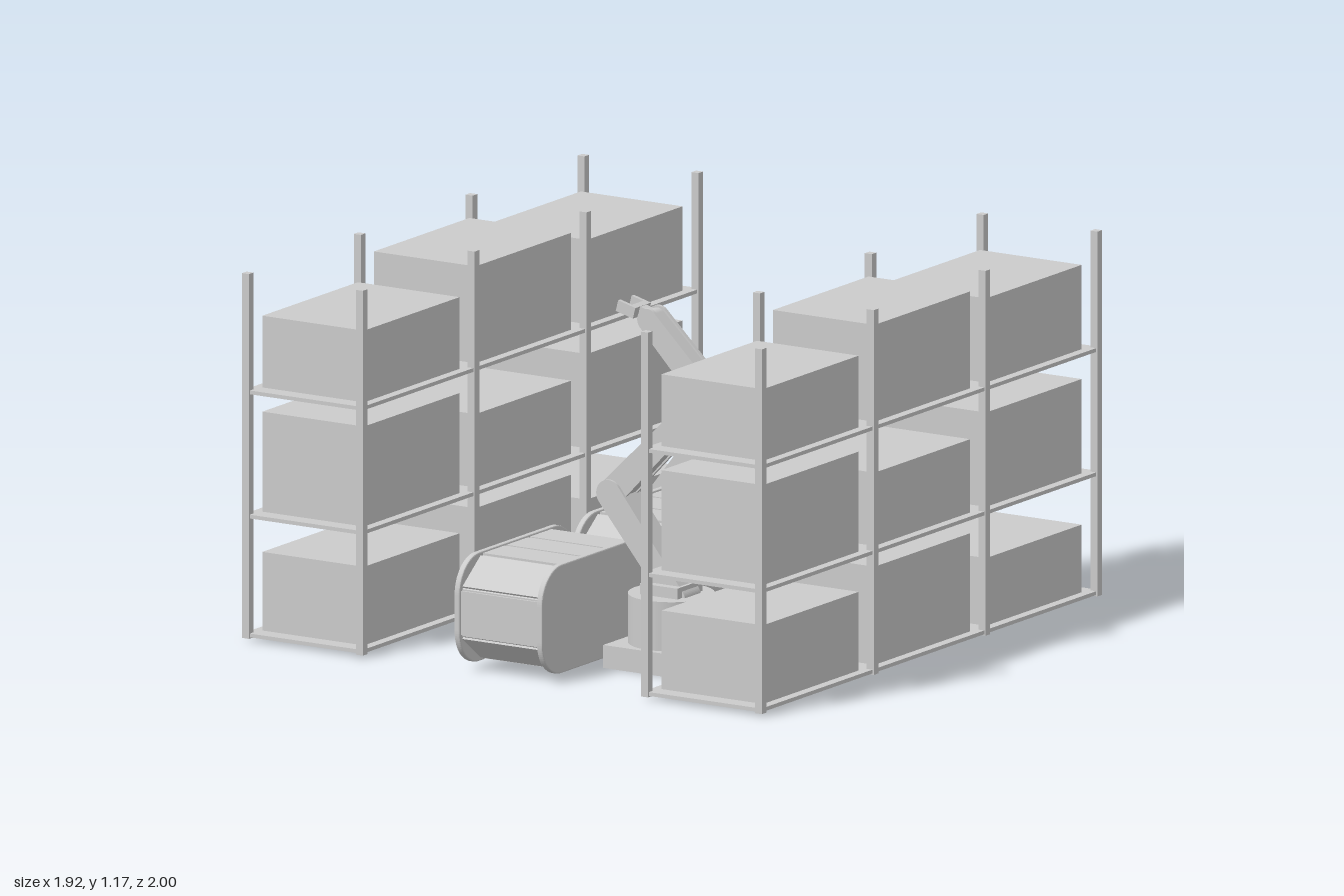
import * as THREE from 'three';

const grey = new THREE.MeshStandardMaterial({ color: 0xcccccc });

function add(parent, name, geometry, x = 0, y = 0, z = 0) {
  const mesh = new THREE.Mesh(geometry, grey);
  mesh.name = name;
  mesh.position.set(x, y, z);
  parent.add(mesh);
  return mesh;
}

// Box given by its bottom height
function block(parent, name, w, h, d, x, bottom, z) {
  return add(parent, name, new THREE.BoxGeometry(w, h, d), x, bottom + h / 2, z);
}

// Round-ended bar between two points in the XY plane, centred on z
function link(parent, name, a, b, ra, rb, depth, z = 0) {
  const dx = b[0] - a[0], dy = b[1] - a[1];
  const s = new THREE.Shape();
  s.absarc(0, 0, ra, Math.PI / 2, Math.PI * 1.5, false);
  s.absarc(Math.hypot(dx, dy), 0, rb, -Math.PI / 2, Math.PI / 2, false);
  s.closePath();
  const g = new THREE.ExtrudeGeometry(s, { depth, bevelEnabled: false, curveSegments: 14 });
  g.translate(0, 0, -depth / 2);
  const mesh = add(parent, name, g, a[0], a[1], z);
  mesh.rotation.z = Math.atan2(dy, dx);
  return mesh;
}

// Storage rack: posts, shelves and crates of differing height
function createRack(x) {
  const rack = new THREE.Group();
  rack.name = 'storageRack';
  rack.position.x = x;
  const shelfY = [0.012, 0.39, 0.785];
  const crateHeights = [[0.215, 0.3, 0.268], [0.312, 0.233, 0.308], [0.25, 0.318, 0.228]];
  for (let i = 0; i < 4; i++) {
    const z = 0.005 + (i - 1.5) * 0.638;
    for (const side of [-1, 1]) block(rack, 'rackPost', 0.026, 1.16, 0.026, side * 0.21, 0.008, z);
  }
  shelfY.forEach((y, level) => {
    block(rack, 'shelf', 0.436, 0.012, 1.93, 0, y, 0.005);
    for (let bay = 0; bay < 3; bay++) {
      block(rack, 'crate', 0.375, crateHeights[bay][level], 0.545, 0, y + 0.012, 0.005 + (bay - 1) * 0.636);
    }
  });
  return rack;
}

// Conveyor unit: rounded side plates around a belt of flat slats
function createConveyor(z) {
  const unit = new THREE.Group();
  unit.name = 'conveyorUnit';
  unit.position.set(-0.003, 0.193, z);
  const L = 0.329, H = 0.173, R = 0.115;
  const side = new THREE.Shape();
  side.absarc(L - R, H - R, R, 0, Math.PI / 2, false);
  side.absarc(R - L, H - R, R, Math.PI / 2, Math.PI, false);
  side.absarc(R - L, R - H, R, Math.PI, Math.PI * 1.5, false);
  side.absarc(L - R, R - H, R, Math.PI * 1.5, Math.PI * 2, false);
  side.closePath();
  const sideGeo = new THREE.ExtrudeGeometry(side, {
    depth: 0.012, bevelThickness: 0.004, bevelSize: 0.004, bevelOffset: -0.004, bevelSegments: 2, curveSegments: 12,
  });
  sideGeo.translate(0, 0, -0.006).rotateY(-Math.PI / 2);
  for (const s of [-1, 1]) add(unit, 'sidePlate', sideGeo, s * 0.152);

  // Belt path as [z, y], clockwise from the top rear
  const path = [[-0.2, 0.16], [-0.067, 0.16], [0.067, 0.16], [0.2, 0.16], [0.312, 0.075], [0.312, -0.075],
    [0.2, -0.16], [0.067, -0.16], [-0.067, -0.16], [-0.2, -0.16], [-0.312, -0.075], [-0.312, 0.075]];
  const coreShape = new THREE.Shape(path.map(([pz, py]) => new THREE.Vector2(pz, py)));
  const core = new THREE.ExtrudeGeometry(coreShape, { depth: 0.29, bevelEnabled: false });
  core.translate(0, 0, -0.145).rotateY(-Math.PI / 2);
  add(unit, 'beltCore', core);
  path.forEach(([z0, y0], i) => {
    const [z1, y1] = path[(i + 1) % path.length];
    const length = Math.hypot(z1 - z0, y1 - y0) - 0.01;
    const slat = add(unit, 'beltSlat', new THREE.BoxGeometry(0.284, 0.014, length), 0, (y0 + y1) / 2, (z0 + z1) / 2);
    slat.rotation.x = -Math.atan2(y1 - y0, z1 - z0);
  });
  return unit;
}

// Robot arm on a round pedestal, reaching toward +x
function createRobot() {
  const robot = new THREE.Group();
  robot.name = 'robotArm';
  block(robot, 'basePlate', 0.305, 0.073, 0.305, 0, 0, 0);
  add(robot, 'pedestal', new THREE.CylinderGeometry(0.135, 0.135, 0.157, 48), 0, 0.151, 0);
  block(robot, 'shoulderBlock', 0.138, 0.035, 0.145, 0, 0.229, 0);
  const elbow = [-0.203, 0.525], wrist = [0.068, 0.8], tip = [0.125, 0.817];
  link(robot, 'lowerArm', [0.04, 0.222], elbow, 0.04, 0.045, 0.09);
  link(robot, 'upperArm', elbow, wrist, 0.04, 0.03, 0.06);
  for (const s of [-1, 1]) link(robot, 'upperArmPlate', elbow, wrist, 0.044, 0.037, 0.012, s * 0.03);

  // Gripper: short wrist bar, cross piece and two fingers
  const gripper = new THREE.Group();
  gripper.name = 'gripper';
  gripper.position.set(wrist[0], wrist[1] + 0.008, 0);
  gripper.rotation.z = Math.atan2(tip[1] - wrist[1], tip[0] - wrist[0]) * 0.9;
  robot.add(gripper);
  add(gripper, 'wristBar', new THREE.BoxGeometry(0.07, 0.034, 0.035), 0.025);
  add(gripper, 'crossPiece', new THREE.BoxGeometry(0.022, 0.036, 0.09), 0.055);
  for (const s of [-1, 1]) add(gripper, 'finger', new THREE.BoxGeometry(0.065, 0.036, 0.014), 0.077, 0, s * 0.038);
  return robot;
}

export function createModel() {
  const model = new THREE.Group();
  model.name = 'warehouseCell';
  for (const x of [-0.74, 0.732]) model.add(createRack(x));
  for (const z of [0.67, 0.002, -0.664]) model.add(createConveyor(z));
  block(model, 'endPanel', 0.45, 0.39, 0.046, -0.015, 0.017, -0.977);

  const frontRobot = createRobot();
  frontRobot.position.set(0.333, 0, 0.53);
  const rearRobot = createRobot();
  rearRobot.position.set(-0.347, 0, -0.525);
  rearRobot.rotation.y = Math.PI;
  model.add(frontRobot, rearRobot);
  return model;
}
